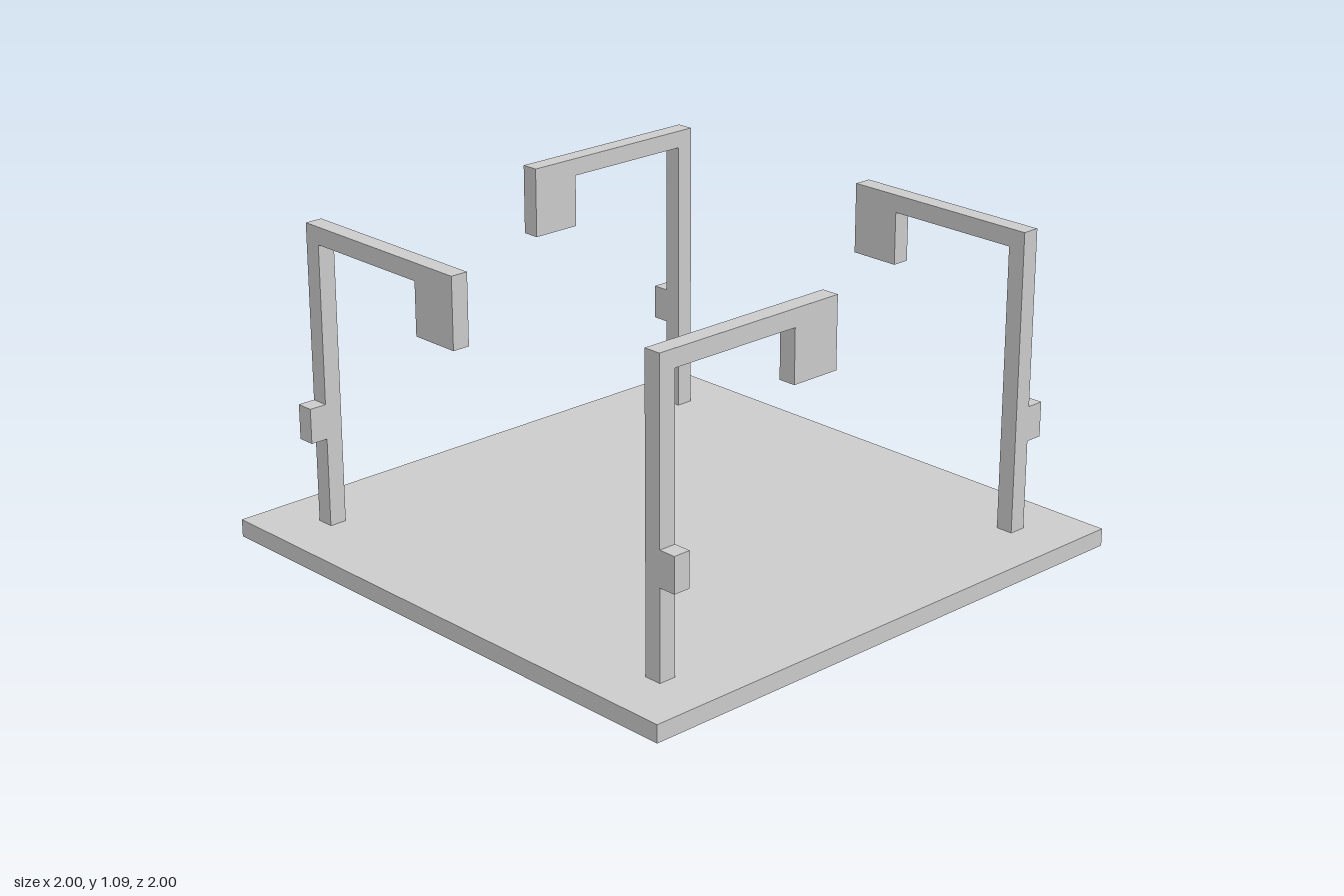
import * as THREE from 'three';

const material = new THREE.MeshStandardMaterial({ color: 0xcccccc, flatShading: true });

function box(name, [x0, x1], [y0, y1], [z0, z1]) {
  const mesh = new THREE.Mesh(new THREE.BoxGeometry(x1 - x0, y1 - y0, z1 - z0), material);
  mesh.position.set((x0 + x1) / 2, (y0 + y1) / 2, (z0 + z1) / 2);
  mesh.name = name;
  return mesh;
}

// One signal pole: post, overhanging arm and hanging head in a single outline, plus a side box
function createPole() {
  const pole = new THREE.Group();
  const outline = new THREE.Shape([
    [-0.818, 0.06], [-0.757, 0.06], [-0.757, 1.03], [-0.273, 1.03],
    [-0.273, 0.85], [-0.094, 0.85], [-0.094, 1.09], [-0.818, 1.09],
  ].map(([x, y]) => new THREE.Vector2(x, y)));
  const geometry = new THREE.ExtrudeGeometry(outline, { depth: 0.061, bevelEnabled: false });
  geometry.translate(0, 0, 0.757);
  const frame = new THREE.Mesh(geometry, material);
  frame.name = 'postArmAndHead';
  pole.add(frame, box('controlBox', [-0.818, -0.757], [0.367, 0.487], [0.818, 0.879]));
  return pole;
}

export function createModel() {
  const model = new THREE.Group();
  model.name = 'intersection';
  model.add(box('basePlate', [-1, 1], [0, 0.06], [-1, 1]));

  // Four poles, each a quarter turn from the last
  for (let i = 0; i < 4; i++) {
    const pole = createPole();
    pole.name = `signalPole${i + 1}`;
    pole.rotation.y = i * Math.PI / 2;
    model.add(pole);
  }
  return model;
}
